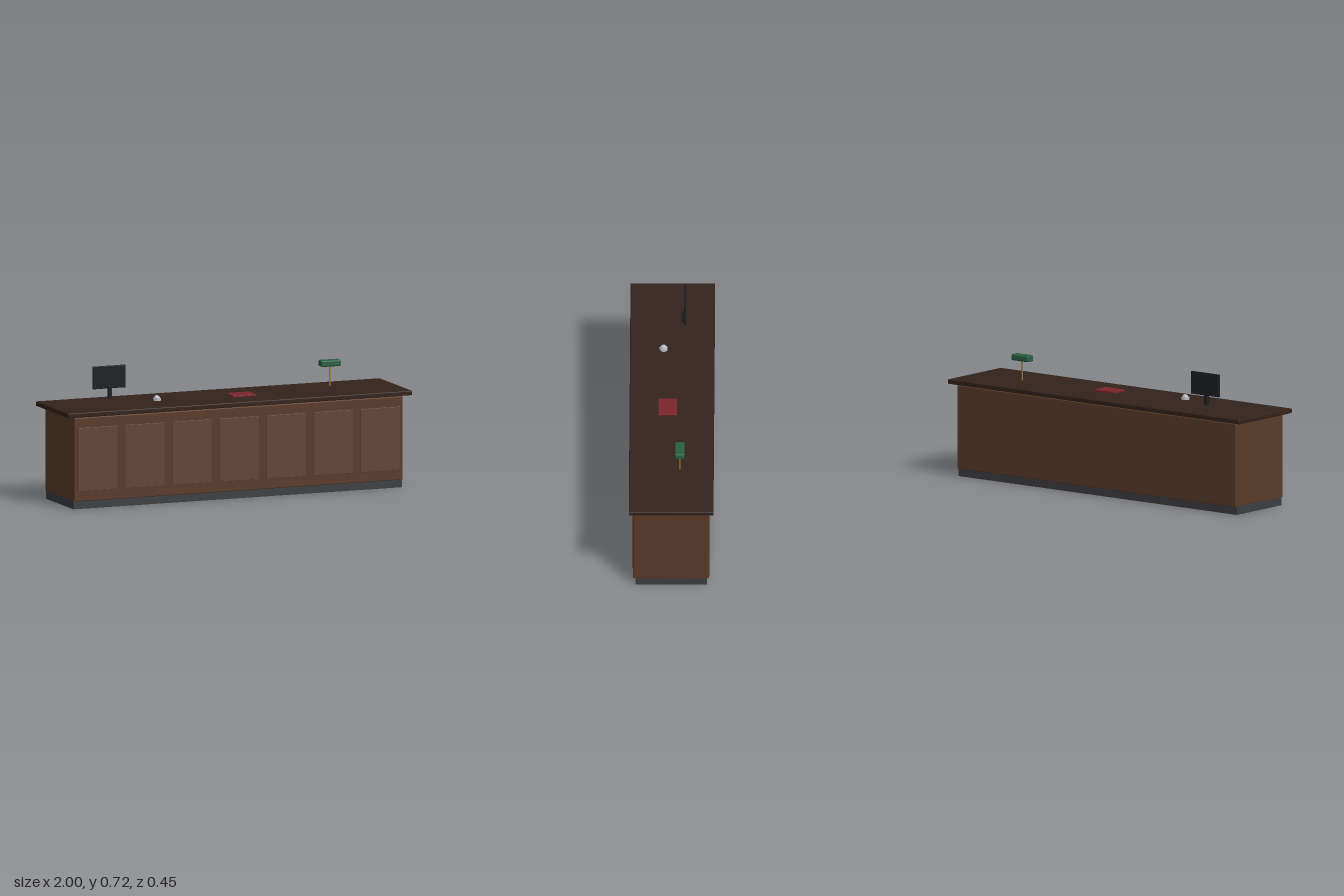
import * as THREE from 'three';
import { RoundedBoxGeometry } from 'three/addons/geometries/RoundedBoxGeometry.js';

const material = (color) => new THREE.MeshStandardMaterial({ color });

export function createModel() {
  const model = new THREE.Group();
  const wood = material(0x5a3b29), panelWood = material(0x644535), darkWood = material(0x33231c);
  const plinthGrey = material(0x3d3e41), black = material(0x1c1e22), red = material(0x7a262b);
  const green = material(0x286043), brass = material(0x9a7c3c), silver = material(0xb8bbc0);

  const add = (name, geometry, mat, x, y, z, parent = model) => {
    const mesh = new THREE.Mesh(geometry, mat);
    mesh.name = name;
    mesh.position.set(x, y, z);
    parent.add(mesh);
    return mesh;
  };
  // Box given by its centre in x and z and its bottom and top heights
  const box = (name, mat, x, z, w, d, y0, y1, r = 0, parent = model) => {
    const h = y1 - y0;
    const geometry = r ? new RoundedBoxGeometry(w, h, d, 3, r) : new THREE.BoxGeometry(w, h, d);
    return add(name, geometry, mat, x, (y0 + y1) / 2, z, parent);
  };
  const group = (name) => {
    const g = new THREE.Group();
    g.name = name;
    model.add(g);
    return g;
  };

  // Counter
  box('plinth', plinthGrey, 0, 0, 1.908, 0.382, 0, 0.045);
  box('counterBody', wood, 0, 0, 1.908, 0.408, 0.043, 0.496, 0.004);
  box('countertop', darkWood, 0, 0, 2, 0.454, 0.502, 0.527, 0.005);

  // Seven raised panels along the front
  const panels = group('frontPanels');
  for (let i = -3; i <= 3; i++) {
    box('frontPanel', panelWood, i * 0.2735, 0.204, 0.23, 0.012, 0.098, 0.442, 0.002, panels);
  }

  // Monitor on a short stand
  const monitor = group('monitor');
  box('screen', black, -0.64, -0.067, 0.191, 0.012, 0.599, 0.722, 0.003, monitor);
  box('monitorStand', black, -0.64, -0.0585, 0.02, 0.022, 0.545, 0.612, 0.002, monitor);

  // Service bell
  const bell = group('serviceBell');
  add('bellBase', new THREE.CylinderGeometry(0.022, 0.022, 0.011, 24), silver, -0.41, 0.541, 0.047, bell);
  add('bellDome', new THREE.SphereGeometry(0.0175, 24, 12, 0, Math.PI * 2, 0, Math.PI / 2),
    silver, -0.41, 0.5465, 0.047, bell);

  // Guest book
  box('guestBook', red, 0.09, 0.023, 0.136, 0.1, 0.527, 0.538, 0.002);

  // Desk lamp
  const lamp = group('deskLamp');
  add('lampPole', new THREE.CylinderGeometry(0.004, 0.004, 0.115, 16), brass, 0.633, 0.5925, -0.045, lamp);
  box('lampShade', green, 0.633, -0.045, 0.115, 0.052, 0.643, 0.677, 0.008, lamp);

  return model;
}
